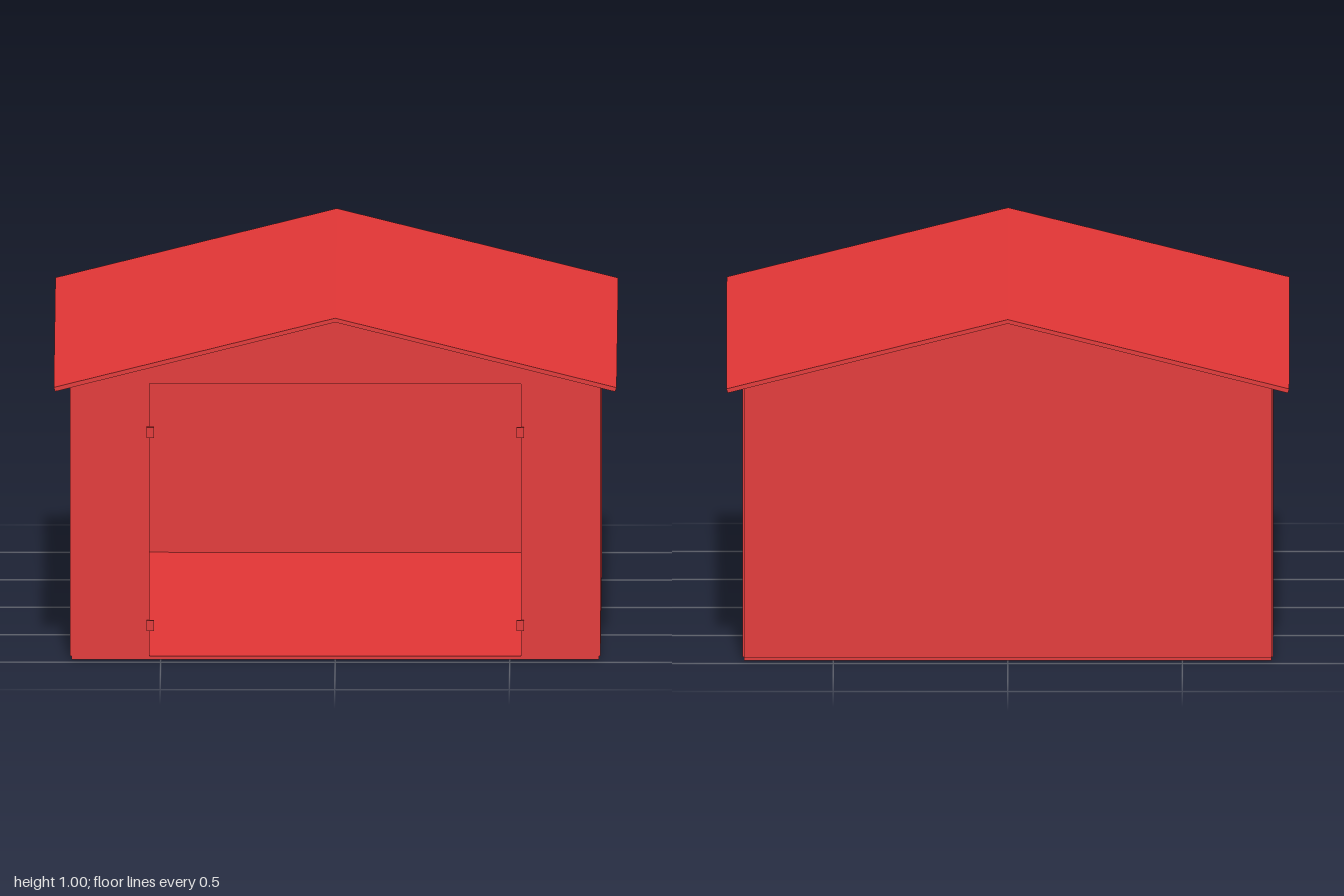
import * as THREE from 'three';

export function createModel() {
  const shed = new THREE.Group();
  shed.name = 'shed';
  const red = new THREE.MeshStandardMaterial({ color: 0xe03535, flatShading: true });

  const add = (name, geometry, parent = shed) => {
    const mesh = new THREE.Mesh(geometry, red);
    mesh.name = name;
    parent.add(mesh);
    return mesh;
  };
  // box given by its lower and upper limits on each axis
  const box = (name, [x0, x1], [y0, y1], [z0, z1], parent) => {
    const g = new THREE.BoxGeometry(x1 - x0, y1 - y0, z1 - z0);
    g.translate((x0 + x1) / 2, (y0 + y1) / 2, (z0 + z1) / 2);
    return add(name, g, parent);
  };
  // outline in x and y, extruded from z0 to z1
  const prism = (name, points, z0, z1) => {
    const shape = new THREE.Shape(points.map(([x, y]) => new THREE.Vector2(x, y)));
    const g = new THREE.ExtrudeGeometry(shape, { depth: z1 - z0, bevelEnabled: false });
    return add(name, g.translate(0, 0, z0));
  };

  const wallX = 0.76, wallZ = 0.95, wallTop = 0.8, floorTop = 0.01, t = 0.01;
  const doorX = 0.532;

  // floor and back wall
  box('floor', [-0.755, 0.755], [0, floorTop], [-wallZ + 0.005, wallZ]);
  box('backWall', [-0.755, 0.755], [floorTop, wallTop], [-wallZ, -wallZ + t]);

  // side walls, front panels and hinges, mirrored
  for (const s of [-1, 1]) {
    const side = s < 0 ? 'right' : 'left';
    const span = (a, b) => (s > 0 ? [a, b] : [-b, -a]);
    box(side + 'Wall', span(wallX - t, wallX), [floorTop, wallTop], [-wallZ + 0.005, wallZ - 0.001]);
    box(side + 'FrontPanel', span(doorX, 0.755), [floorTop, wallTop], [wallZ - t, wallZ]);

    for (const y of [0.1, 0.66]) {
      const hinge = new THREE.Group();
      hinge.name = side + 'Hinge';
      shed.add(hinge);
      box('hingeLeaf', span(0.541, 0.563), [y - 0.012, y + 0.012], [wallZ, wallZ + 0.004], hinge);
      box('hingeKnuckle', span(0.519, 0.541), [y - 0.015, y + 0.015], [wallZ, wallZ + 0.014], hinge);
    }
  }

  // gables over the front and back walls
  const gable = [[-0.745, wallTop], [0.745, wallTop], [0, 0.987]];
  prism('frontGable', gable, wallZ - t, wallZ);
  prism('backGable', gable, -wallZ, -wallZ + t);

  // thin pitched roof with overhanging eaves
  prism('roof', [
    [-0.802, 0.785], [0, 0.986], [0.802, 0.785],
    [0.806, 0.797], [0, 0.998], [-0.806, 0.797],
  ], -1, 1);

  return shed;
}
